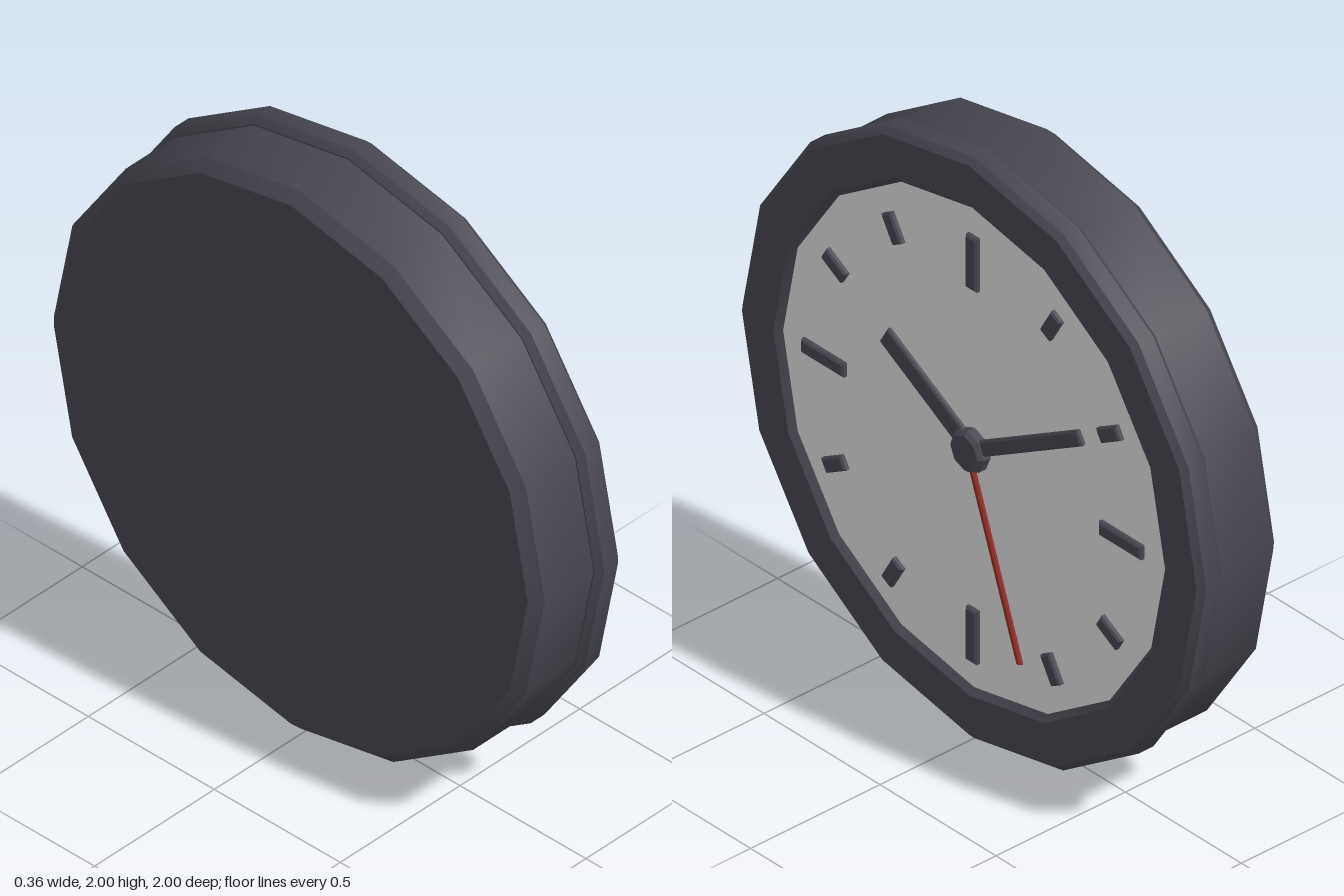
import * as THREE from 'three';
import { toCreasedNormals } from 'three/addons/utils/BufferGeometryUtils.js';

const mat = (name, color) => {
  const m = new THREE.MeshStandardMaterial({ color });
  m.name = name;
  return m;
};

export function createModel() {
  const dark = mat('charcoal', 0x474650);
  const pale = mat('dial grey', 0xe0dfe1);
  const red = mat('red', 0x942e28);

  // The clock is built facing +z, centred on its axis, then turned to face +x.
  const clock = new THREE.Group();
  clock.name = 'clock';
  const add = (name, geometry, material) => {
    const mesh = new THREE.Mesh(geometry, material);
    mesh.name = name;
    clock.add(mesh);
    return mesh;
  };

  // Solid of revolution around z from [radius, z] points, back to front
  const turned = (points, sides) => {
    const g = new THREE.LatheGeometry(points.map(([r, z]) => new THREE.Vector2(r, z)), sides);
    g.rotateX(Math.PI / 2);
    return toCreasedNormals(g, 0.5);
  };

  // Chamfered bar reaching from r0 to r1 along a direction, between two depths
  const bar = (name, angle, r0, r1, width, z0, z1, material) => {
    const c = Math.min(0.006, width / 4);
    const x0 = r0 + c, x1 = r1 - c, h = width / 2 - c;
    const shape = new THREE.Shape([
      new THREE.Vector2(x0, -h), new THREE.Vector2(x1, -h),
      new THREE.Vector2(x1, h), new THREE.Vector2(x0, h),
    ]);
    const g = new THREE.ExtrudeGeometry(shape, {
      depth: z1 - z0 - 2 * c, bevelEnabled: true, bevelSegments: 1, bevelSize: c, bevelThickness: c,
    });
    g.translate(0, 0, z0 + c);
    add(name, g, material).rotation.z = angle;
  };

  // Casing with a chamfered back edge
  add('casing', turned([[0, -0.18], [0.94, -0.18], [0.975, -0.145], [0.975, 0.08]], 16), dark);

  // Bezel ring with a sloping inner lip
  add('bezel', turned([
    [0.93, 0.058], [0.98, 0.058], [1, 0.078], [1, 0.135], [0.98, 0.155],
    [0.845, 0.155], [0.82, 0.13],
  ], 16), dark);

  // Dial
  const dial = new THREE.CircleGeometry(0.825, 16);
  dial.translate(0, 0, 0.135);
  add('dial', dial, pale);

  // Hour markers, longer at the quarters
  for (let i = 0; i < 12; i++) {
    const quarter = i % 3 === 0;
    bar(quarter ? 'quarterMarker' : 'hourMarker', i * Math.PI / 6,
      quarter ? 0.55 : 0.635, 0.733, 0.047, 0.128, 0.153, dark);
  }

  // Hands
  const deg = Math.PI / 180;
  bar('hourHand', 150 * deg, 0, 0.43, 0.07, 0.137, 0.156, dark);
  bar('minuteHand', 30 * deg, 0, 0.55, 0.05, 0.139, 0.159, dark);
  bar('secondHand', -70.3 * deg, 0, 0.665, 0.022, 0.152, 0.168, red);

  // Centre hub
  add('hub', turned([[0.07, 0.134], [0.07, 0.163], [0.058, 0.176], [0, 0.176]], 8), dark);

  clock.rotation.y = Math.PI / 2;
  clock.position.y = 1;
  const model = new THREE.Group();
  model.name = 'wallClock';
  model.add(clock);
  return model;
}
